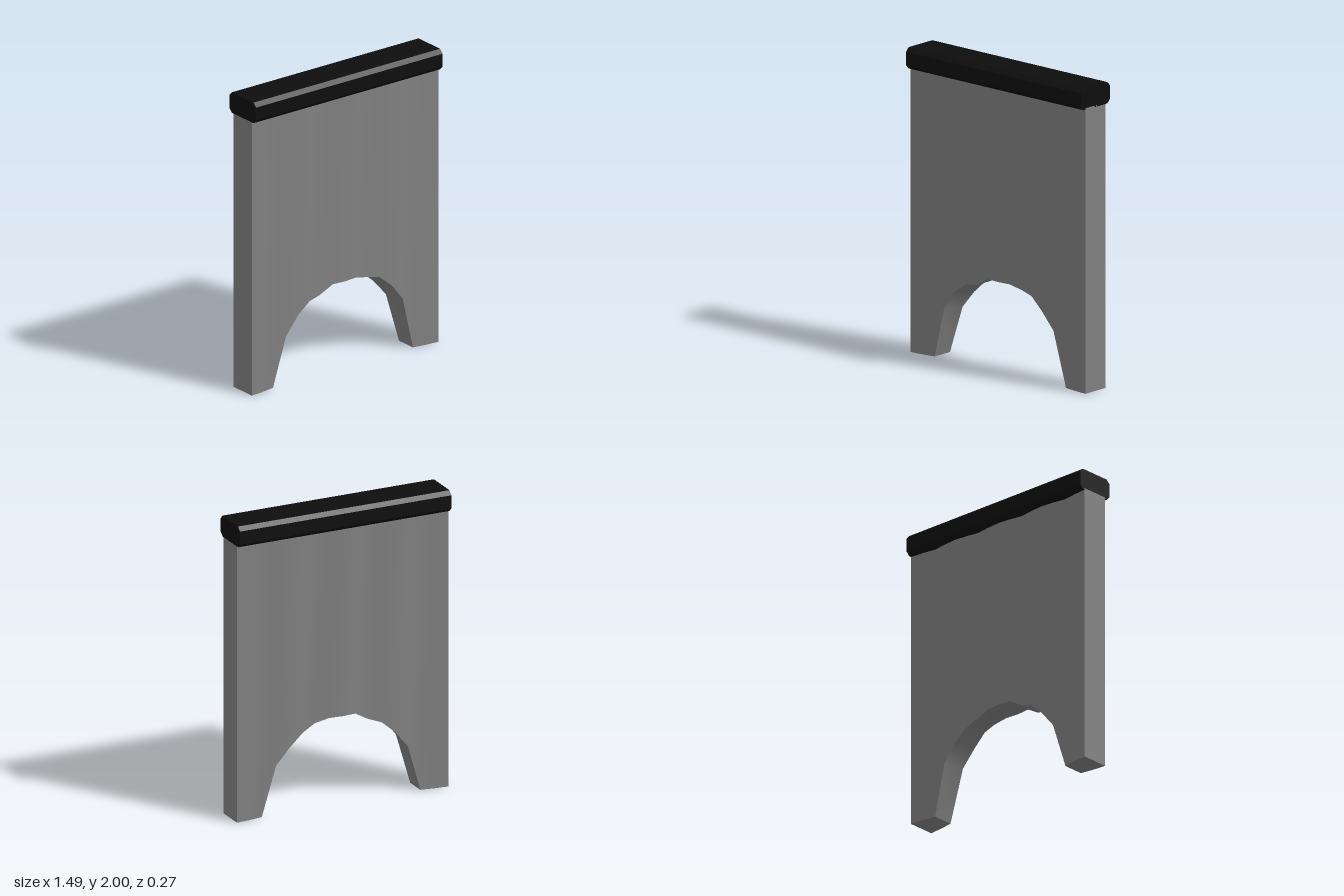
import * as THREE from 'three';
import { mergeGeometries } from 'three/addons/utils/BufferGeometryUtils.js';

const HALF = 0.745, COLS = 16, WALL_TOP = 1.87;

// Lower edge heights of the wall at each column (two feet joined by an arch)
const FRONT_EDGE = [0, 0, 0, 0.335, 0.46, 0.525, 0.54, 0.595, 0.595, 0.595, 0.57, 0.552, 0.475, 0.36, 0, 0, 0];
const BACK_EDGE = [0, 0, 0, 0.31, 0.425, 0.505, 0.54, 0.595, 0.595, 0.595, 0.57, 0.525, 0.445, 0.335, 0, 0, 0];
// Half thickness over one ripple of four columns
const RIPPLE = [0.095, 0.087, 0.072, 0.087];

// Smooth strip of quads between two rows of points
function strip(a, b) {
  const position = [], index = [];
  a.forEach((p, i) => {
    position.push(...p, ...b[i]);
    if (i > 0) {
      const k = 2 * i - 2;
      index.push(k, k + 2, k + 3, k, k + 3, k + 1);
    }
  });
  const geometry = new THREE.BufferGeometry();
  geometry.setAttribute('position', new THREE.Float32BufferAttribute(position, 3));
  geometry.setIndex(index);
  geometry.computeVertexNormals();
  return geometry;
}

// Rippled panel with an arched opening at its foot
function wallGeometry() {
  const row = (side, height) => Array.from({ length: COLS + 1 }, (_, i) =>
    [-HALF + (2 * HALF * i) / COLS, height(i), side * RIPPLE[i % 4]]);
  const frontLow = row(1, i => FRONT_EDGE[i]), frontHigh = row(1, () => WALL_TOP);
  const backLow = row(-1, i => BACK_EDGE[i]), backHigh = row(-1, () => WALL_TOP);
  const parts = [
    strip(frontLow, frontHigh),
    strip(backHigh, backLow),
    strip(frontHigh, backHigh),
    strip([backLow[COLS], backHigh[COLS]], [frontLow[COLS], frontHigh[COLS]]),
    strip([frontLow[0], frontHigh[0]], [backLow[0], backHigh[0]]),
  ];
  // Left foot sole, arch underside, right foot sole
  for (const [from, to] of [[0, 2], [2, 14], [14, 16]]) {
    parts.push(strip(backLow.slice(from, to + 1), frontLow.slice(from, to + 1)));
  }
  return mergeGeometries(parts);
}

// Chamfered bar running the full width
function capGeometry() {
  const w = 0.137, low = 1.86, high = 2, c = 0.026;
  const outline = [
    [-w + c, low], [w - c, low], [w, low + c], [w, high - c],
    [w - c, high], [-w + c, high], [-w, high - c], [-w, low + c],
  ].map(([x, y]) => new THREE.Vector2(x, y));
  return new THREE.ExtrudeGeometry(new THREE.Shape(outline), { depth: 2 * HALF, bevelEnabled: false })
    .translate(0, 0, -HALF)
    .rotateY(Math.PI / 2);
}

export function createModel() {
  const group = new THREE.Group();
  group.name = 'archedPanel';
  const grey = new THREE.MeshStandardMaterial({ color: 0x808080 });
  grey.name = 'grey';
  const black = new THREE.MeshStandardMaterial({ color: 0x0e0e0e });
  black.name = 'black';

  const wall = new THREE.Mesh(wallGeometry(), grey);
  wall.name = 'wall';
  const cap = new THREE.Mesh(capGeometry(), black);
  cap.name = 'cap';
  group.add(wall, cap);
  return group;
}
